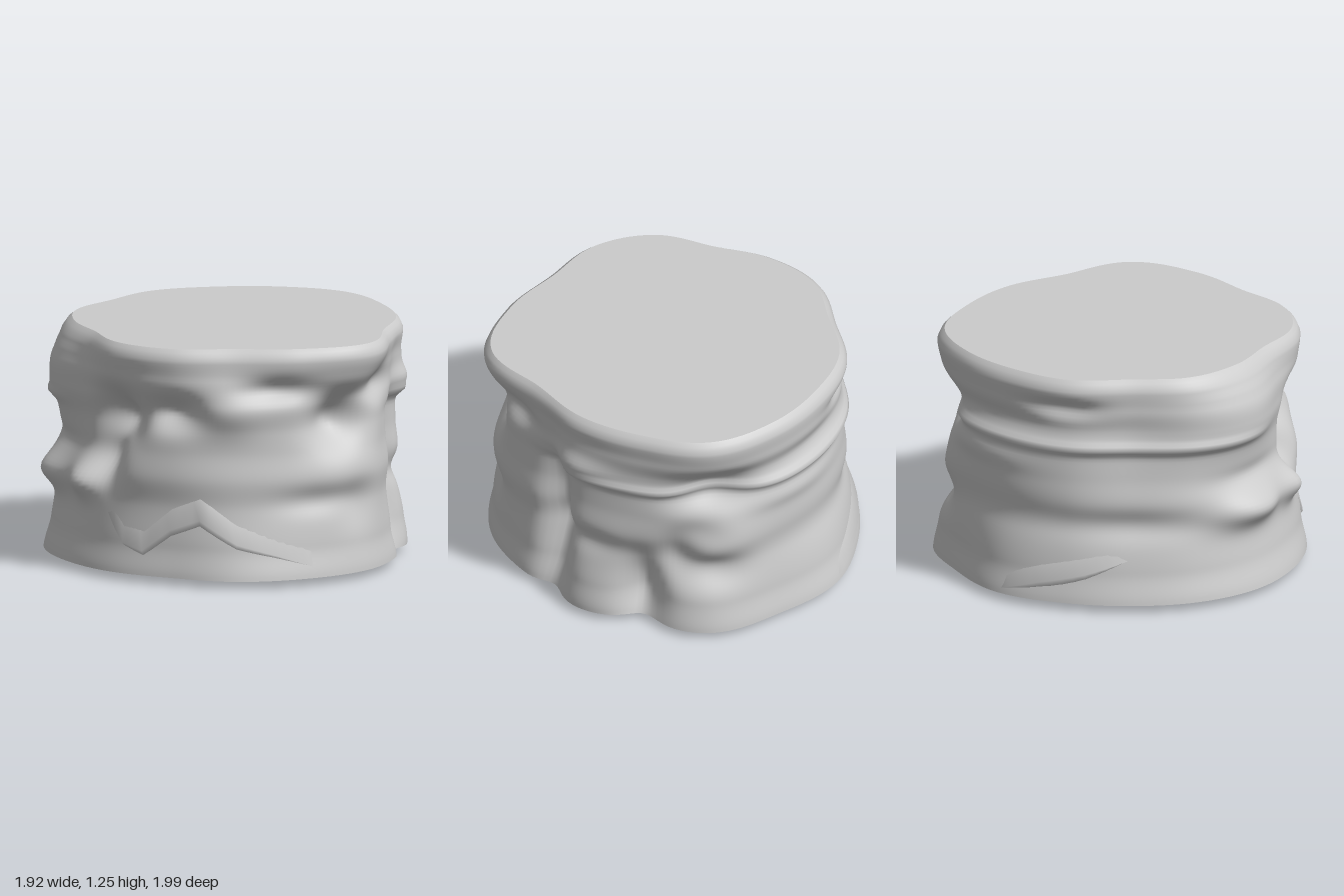
import * as THREE from 'three';

const COLS = 180, BASE = 0.04, TOP = 1.245;

// radius every 22.5 degrees, from +x towards +z
const baseOutline = [.94, .95, 1, 1, .99, .92, .92, .92, .94, .94, .93, .95, 1, .99, 1.03, .94];
const topOutline = [.9, .88, 1, .91, .82, .86, .84, .75, .78, .81, .78, .85, .87, .92, .97, .92];
// height, radius offset: rounded rim, waist and belly
const profile = [[.04, 0], [.2, -.02], [.4, -.03], [.56, -.01], [.7, -.02], [.8, -.02],
  [.95, 0], [1.08, .02], [1.19, .035], [1.225, .02], [1.245, 0]];
// angle, height, angular width, height width, depth: hollows (-) and lumps (+)
const dents = [
  // front
  [136, .84, 10, .13, -.2], [142, .62, 8, .14, -.12], [112, .9, 10, .08, -.1], [53, .85, 10, .15, -.17],
  [75, 1.03, 13, .06, -.06], [92, .92, 12, .14, .06], [62, .44, 14, .07, -.03], [48, .4, 7, .13, -.03],
  // left (+x) side: two upright grooves with a lump between them
  [35, 1, 11, .09, -.08], [12, .45, 6, .45, -.13], [337, .2, 7, .22, -.12], [326, .48, 7, .15, -.08],
  [356, .15, 10, .2, .03], [3, .94, 14, .07, .05], [0, .46, 14, .07, -.03],
  // right (-x) side
  [178, .47, 16, .09, .1], [151, .48, 8, .09, .09], [180, .97, 26, .2, .09], [175, .65, 18, .05, -.02],
  // back
  [314, .87, 13, .13, -.15], [318, .62, 8, .1, -.05], [314, .38, 10, .1, -.07], [270, .97, 35, .07, -.03],
  [270, .5, 32, .12, -.03], [250, 1.08, 13, .05, -.05], [225, .45, 25, .08, -.03], [285, .76, 20, .06, .02]];

// smooth closed interpolation of an outline
function outlineAt(o, deg) {
  const n = o.length, t = (((deg % 360) + 360) % 360) / 360 * n, i = Math.floor(t), f = t - i;
  const [a, b, c, d] = [-1, 0, 1, 2].map(k => o[(i + k + n) % n]);
  return b + .5 * f * (c - a + f * (2 * a - 5 * b + 4 * c - d + f * (3 * (b - c) + d - a)));
}

function profileAt(y) {
  let i = 0;
  while (i < profile.length - 2 && y > profile[i + 1][0]) i++;
  const [y0, r0] = profile[i], [y1, r1] = profile[i + 1];
  return THREE.MathUtils.lerp(r0, r1, THREE.MathUtils.smoothstep(y, y0, y1));
}

// narrow ledge that runs round the back and sides only
function ledgeAt(deg, y) {
  const facing = Math.cos(THREE.MathUtils.degToRad(deg - 275));
  return .03 * THREE.MathUtils.smoothstep(facing, -.4, .1) * Math.exp(-(((y - .87) / .03) ** 2));
}

function radiusAt(deg, y) {
  const t = (y - BASE) / (TOP - BASE);
  let r = THREE.MathUtils.lerp(outlineAt(baseOutline, deg), outlineAt(topOutline, deg), t);
  r += profileAt(y) + ledgeAt(deg, y);
  const fade = Math.min(1, (TOP - y) / .12);
  for (const [a, h, wa, wh, amount] of dents) {
    const da = ((deg - a + 540) % 360 - 180) / wa, dy = (y - h) / wh;
    r += amount * fade * Math.exp(-da * da - dy * dy);
  }
  return r;
}

function polar(deg, r, y) {
  const a = THREE.MathUtils.degToRad(deg);
  return [Math.cos(a) * r, y, Math.sin(a) * r];
}

// skin rows of points, outside facing outwards
function skin(rows, closed) {
  const n = rows[0].length, index = [];
  for (let i = 0; i < rows.length - 1; i++) {
    for (let j = 0; j < (closed ? n : n - 1); j++) {
      const k = (j + 1) % n, a = i * n + j, b = i * n + k;
      index.push(a, a + n, b, b, a + n, b + n);
    }
  }
  const g = new THREE.BufferGeometry();
  g.setAttribute('position', new THREE.Float32BufferAttribute(rows.flat(2), 3));
  g.setIndex(index);
  g.computeVertexNormals();
  return g;
}

function ring(y, scale = 1, height = () => y) {
  return Array.from({ length: COLS }, (_, j) => {
    const deg = j / COLS * 360;
    return polar(deg, radiusAt(deg, y) * scale, height(deg));
  });
}

// rock lip with a sloping underside, following a path of [angle, height] on the wall
function lip(path, depth, drop, rise) {
  const rows = [[], [], []], steps = (path.length - 1) * 4;
  for (let s = 0; s <= steps; s++) {
    const t = s / 4, i = Math.min(Math.floor(t), path.length - 2);
    const deg = THREE.MathUtils.lerp(path[i][0], path[i + 1][0], t - i);
    const y = THREE.MathUtils.lerp(path[i][1], path[i + 1][1], t - i);
    const swell = Math.sin(Math.PI * s / steps), low = y - drop * swell, high = y + rise;
    rows[0].push(polar(deg, radiusAt(deg, low) - .005, low));
    rows[1].push(polar(deg, radiusAt(deg, y) + depth * swell, y));
    rows[2].push(polar(deg, radiusAt(deg, high) - .005, high));
  }
  return skin(rows, false);
}

export function createModel() {
  const group = new THREE.Group();
  const material = new THREE.MeshStandardMaterial({ color: 0xcccccc });
  const thin = material.clone();
  thin.side = THREE.DoubleSide;
  const add = (name, geometry, mat = material) => {
    const mesh = new THREE.Mesh(geometry, mat);
    mesh.name = name;
    group.add(mesh);
  };

  // weathered wall
  const rows = 64;
  add('rockWall', skin(Array.from({ length: rows + 1 }, (_, i) =>
    ring(BASE + (TOP - BASE) * i / rows)), true));

  // flat top
  add('topFace', skin([ring(TOP), ring(TOP, .5), ring(TOP, 0)], true));

  // underside with two shallow bumps
  const bump = (deg, at) => Math.max(0, Math.cos(THREE.MathUtils.degToRad(deg - at))) ** 10;
  const bumps = deg => BASE - .01 - .03 * bump(deg, 108) - .015 * bump(deg, 318);
  add('underside', skin([ring(BASE, 0), ring(BASE, .65, bumps), ring(BASE)], true));

  // cracked lips low on the wall
  add('frontLip', lip([[138, .34], [130, .2], [122, .17], [112, .29], [102, .35], [90, .23], [78, .17], [66, .1]], .03, .04, .12), thin);
  add('backLip', lip([[268, .07], [255, .14], [240, .2], [226, .27]], .03, .04, .1), thin);
  return group;
}
